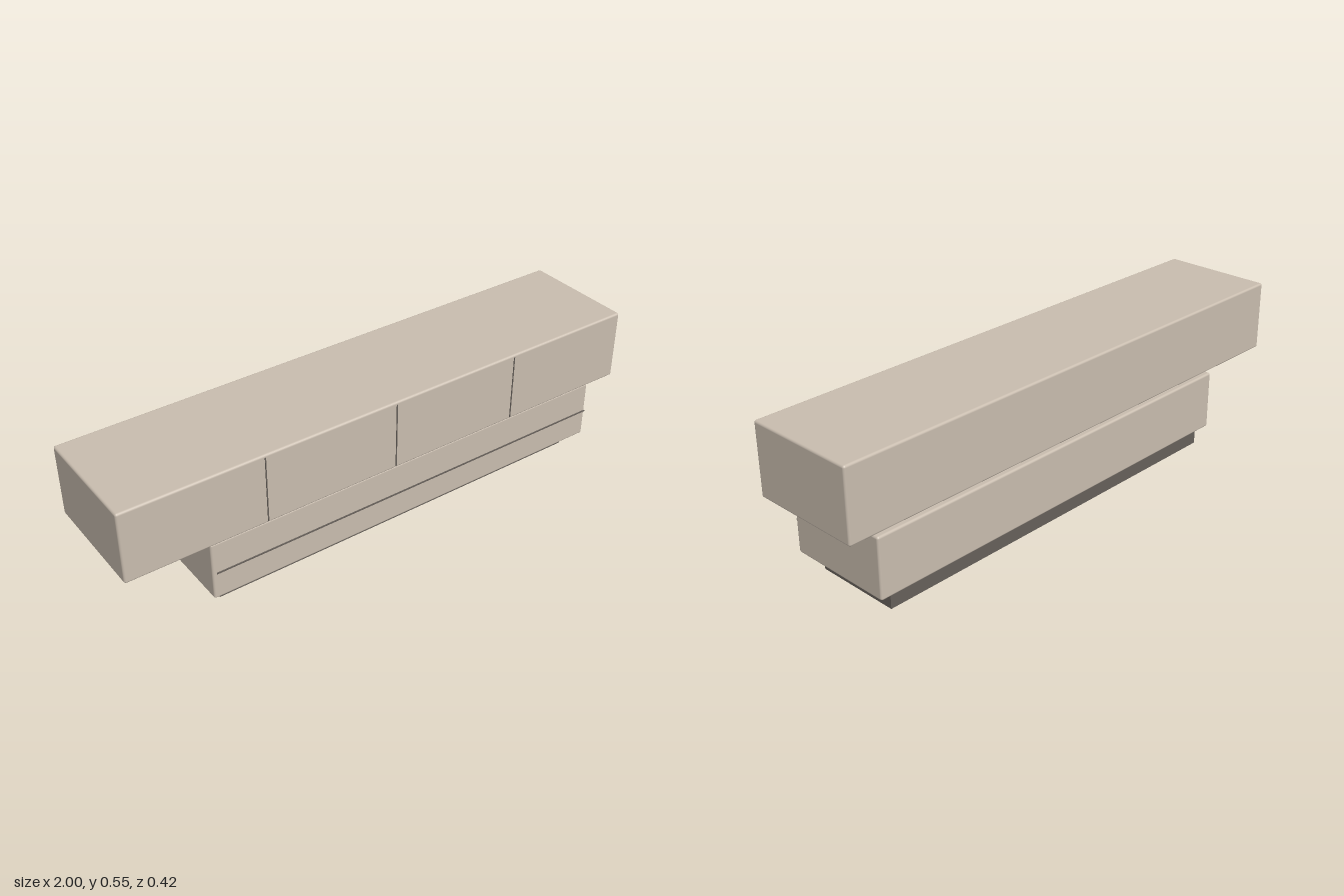
import * as THREE from 'three';
import { RoundedBoxGeometry } from 'three/addons/geometries/RoundedBoxGeometry.js';

const body = new THREE.MeshStandardMaterial({ color: 0xc8bcae });
const dark = new THREE.MeshStandardMaterial({ color: 0x66605a });

// Box given by its min and max corners, with optionally rounded edges
function block(name, min, max, material, radius = 0) {
  const [w, h, d] = max.map((v, i) => v - min[i]);
  const geometry = radius
    ? new RoundedBoxGeometry(w, h, d, 3, radius)
    : new THREE.BoxGeometry(w, h, d);
  const mesh = new THREE.Mesh(geometry, material);
  mesh.name = name;
  mesh.position.set(...max.map((v, i) => (v + min[i]) / 2));
  return mesh;
}

export function createModel() {
  const group = new THREE.Group();
  group.name = 'lowCabinet';

  // Recessed plinth and the two stacked, offset cabinets
  group.add(
    block('plinth', [-0.65, 0, -0.19], [0.85, 0.06, 0.13], dark),
    block('lowerCabinet', [-0.7, 0.06, -0.21], [0.9, 0.28, 0.19], body, 0.008),
    block('upperCabinet', [-1, 0.292, -0.21], [1, 0.552, 0.21], body, 0.008),
  );

  // Vertical door gaps on the upper front
  for (const x of [-0.5, 0, 0.5]) {
    group.add(block('doorGap', [x - 0.002, 0.3, 0.208], [x + 0.002, 0.542, 0.212], dark));
  }

  // Thin horizontal drawer line standing just off the lower front
  group.add(block('drawerLine', [-0.69, 0.168, 0.198], [0.89, 0.172, 0.202], dark));
  return group;
}
